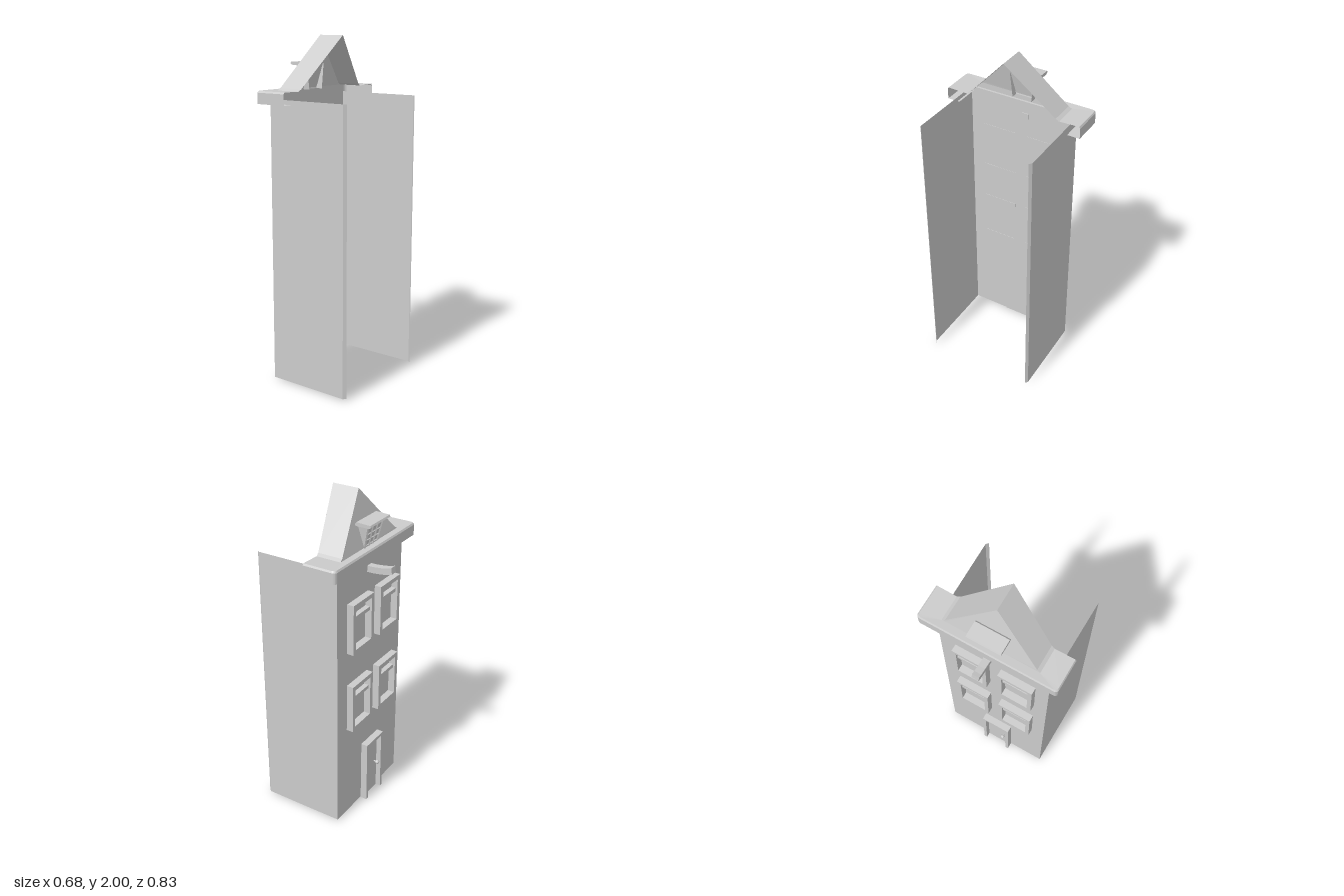
import * as THREE from 'three';

const material = new THREE.MeshStandardMaterial({ color: 0xcccccc, flatShading: true, side: THREE.DoubleSide });

function add(parent, name, geometry) {
  const mesh = new THREE.Mesh(geometry, material);
  mesh.name = name;
  parent.add(mesh);
  return mesh;
}

// Box given by its limits on each axis
function box(parent, name, [x0, x1], [y0, y1], [z0, z1]) {
  const mesh = add(parent, name, new THREE.BoxGeometry(x1 - x0, y1 - y0, z1 - z0));
  mesh.position.set((x0 + x1) / 2, (y0 + y1) / 2, (z0 + z1) / 2);
  return mesh;
}

// Open surface stretched between rows with equal numbers of points
function sheet(rows) {
  const n = rows[0].length, index = [];
  for (let r = 0; r < rows.length - 1; r++) {
    for (let i = 0; i < n - 1; i++) {
      const a = r * n + i, b = a + n;
      index.push(a, a + 1, b, b, a + 1, b + 1);
    }
  }
  const geometry = new THREE.BufferGeometry();
  geometry.setAttribute('position', new THREE.Float32BufferAttribute(rows.flat(2), 3));
  geometry.setIndex(index);
  const flat = geometry.toNonIndexed();
  flat.computeVertexNormals();
  return flat;
}

// Shape drawn in x and y, extruded along z and centred on z
function slab(points, width, z = 0) {
  const shape = new THREE.Shape(points.map(([x, y]) => new THREE.Vector2(x, y)));
  return new THREE.ExtrudeGeometry(shape, { depth: width, bevelEnabled: false }).translate(0, 0, z - width / 2);
}

const FACE = -0.18; // plane of the facade

function windowFrame(y0, y1, z0, z1) {
  const group = new THREE.Group();
  group.name = 'window';
  const t = 0.025, depth = [-0.222, FACE + 0.002];
  const bar = y0 + (y1 - y0) * 0.66;
  box(group, 'windowSill', depth, [y0, y0 + t], [z0, z1]);
  box(group, 'windowHead', depth, [y1 - t, y1], [z0, z1]);
  for (const z of [z0, z1 - t]) box(group, 'windowJamb', [-0.222, FACE], [y0 + t, y1 - t], [z, z + t]);
  box(group, 'windowTransom', [-0.21, FACE], [bar, bar + 0.022], [z0 + t, z1 - t]);
  return group;
}

function door() {
  const group = new THREE.Group();
  group.name = 'door';
  const depth = [-0.222, FACE];
  box(group, 'doorPanel', [-0.19, FACE], [0.005, 0.395], [-0.04, 0.105]);
  box(group, 'doorHead', depth, [0.395, 0.415], [-0.06, 0.125]);
  for (const z of [-0.06, 0.105]) box(group, 'doorJamb', depth, [0.005, 0.395], [z, z + 0.02]);
  const knob = add(group, 'doorKnob', new THREE.SphereGeometry(0.013, 10, 8));
  knob.position.set(-0.213, 0.205, 0.08);
  const stem = add(group, 'knobStem', new THREE.CylinderGeometry(0.005, 0.005, 0.025, 8).rotateZ(Math.PI / 2));
  stem.position.set(-0.199, 0.205, 0.08);
  return group;
}

// Cornice: soffit, fascia and top, with rounded front corners, open at the rear
function cornice() {
  const rear = -0.03, front = -0.23, side = 0.415;
  const outline = (inset, sideInset, y, r) => {
    const half = [[rear, y, side - sideInset]];
    for (let i = 0; i <= 4; i++) {
      const a = (i / 4) * Math.PI / 2;
      half.push([front + inset + r * (1 - Math.sin(a)), y, side - sideInset - r * (1 - Math.cos(a))]);
    }
    return [...half, ...half.map(([x, h, z]) => [x, h, -z]).reverse()];
  };
  return sheet([
    outline(0.05, 0.075, 1.63, 0.001),
    outline(0, 0, 1.63, 0.02),
    outline(0, 0, 1.692, 0.02),
    outline(0.006, 0.006, 1.702, 0.02),
    outline(0.05, 0.13, 1.698, 0.001),
  ]);
}

// Raked roof: a leaning gable with two slopes, open at the rear
function roof(group) {
  const profile = [[-0.29, 1.698], [-0.27, 1.71], [0, 2], [0.27, 1.71], [0.29, 1.698]];
  const edge = (x, lean) => profile.map(([z, y]) => [x + lean * (y - 1.7) / 0.3, y, z]);
  const front = edge(FACE, 0.075);
  add(group, 'roofSlopes', sheet([front, edge(-0.03, 0.087)]));
  add(group, 'gable', sheet([front, front.map(([, , z]) => [FACE, 1.698, z])]));
}

// Small dormer window leaning out of the gable
function dormer() {
  const group = new THREE.Group();
  group.name = 'dormer';
  const faceX = (y) => -0.183 - (y - 1.7) * 0.23;
  const halfW = (y) => 0.06 + (y - 1.7) * 0.12;
  const ring = (y) => [[-0.14, y, halfW(y)], [faceX(y), y, halfW(y)], [faceX(y), y, -halfW(y)], [-0.14, y, -halfW(y)]];
  add(group, 'dormerBody', sheet([ring(1.69), ring(1.835)]));
  const bar = (name, a, b, r) => {
    const start = new THREE.Vector3(...a), end = new THREE.Vector3(...b);
    add(group, name, new THREE.TubeGeometry(new THREE.LineCurve3(start, end), 1, r, 4));
  };
  for (let i = 0; i < 4; i++) {
    const f = -1 + i * 2 / 3, y0 = 1.70, y1 = 1.83;
    bar('dormerMullion', [faceX(y0), y0, f * halfW(y0)], [faceX(y1), y1, f * halfW(y1)], 0.006);
    const y = 1.71 + i * 0.035;
    bar('dormerGlazingBar', [faceX(y), y, -halfW(y)], [faceX(y), y, halfW(y)], 0.005);
  }
  const cap = [[-0.228, 1.83], [-0.245, 1.838], [-0.24, 1.848], [-0.155, 1.852], [-0.145, 1.84], [-0.15, 1.83]];
  add(group, 'dormerRoof', slab(cap, 0.2));
  return group;
}

export function createModel() {
  const house = new THREE.Group();
  house.name = 'townHouse';

  // Thin facade and side walls in one folded sheet, with small inward lips at the rear
  const plan = [[0.34, 0.343], [0.325, 0.357], [-0.03, 0.353], [FACE, 0.352],
    [FACE, -0.323], [-0.03, -0.325], [0.325, -0.328], [0.34, -0.315]];
  add(house, 'walls', sheet([0.01, 1.655].map((y) => plan.map(([x, z]) => [x, y, z]))));

  // Two floors of paired windows above the door
  for (const [y0, y1] of [[0.615, 0.917], [1.125, 1.43]]) {
    for (const [z0, z1] of [[0.06, 0.272], [-0.225, -0.013]]) house.add(windowFrame(y0, y1, z0, z1));
  }
  house.add(door());

  // Hoisting beam, curving up towards its tip
  const arc = [[-0.175, 1.545], [-0.22, 1.546], [-0.27, 1.551], [-0.31, 1.558], [-0.335, 1.566]];
  const upper = arc.map(([x, y]) => [x - (x + 0.175) * 0.03, y + 0.037]).reverse();
  add(house, 'hoistBeam', slab([...arc, ...upper], 0.042, -0.003));

  add(house, 'cornice', cornice());
  roof(house);
  house.add(dormer());
  return house;
}
